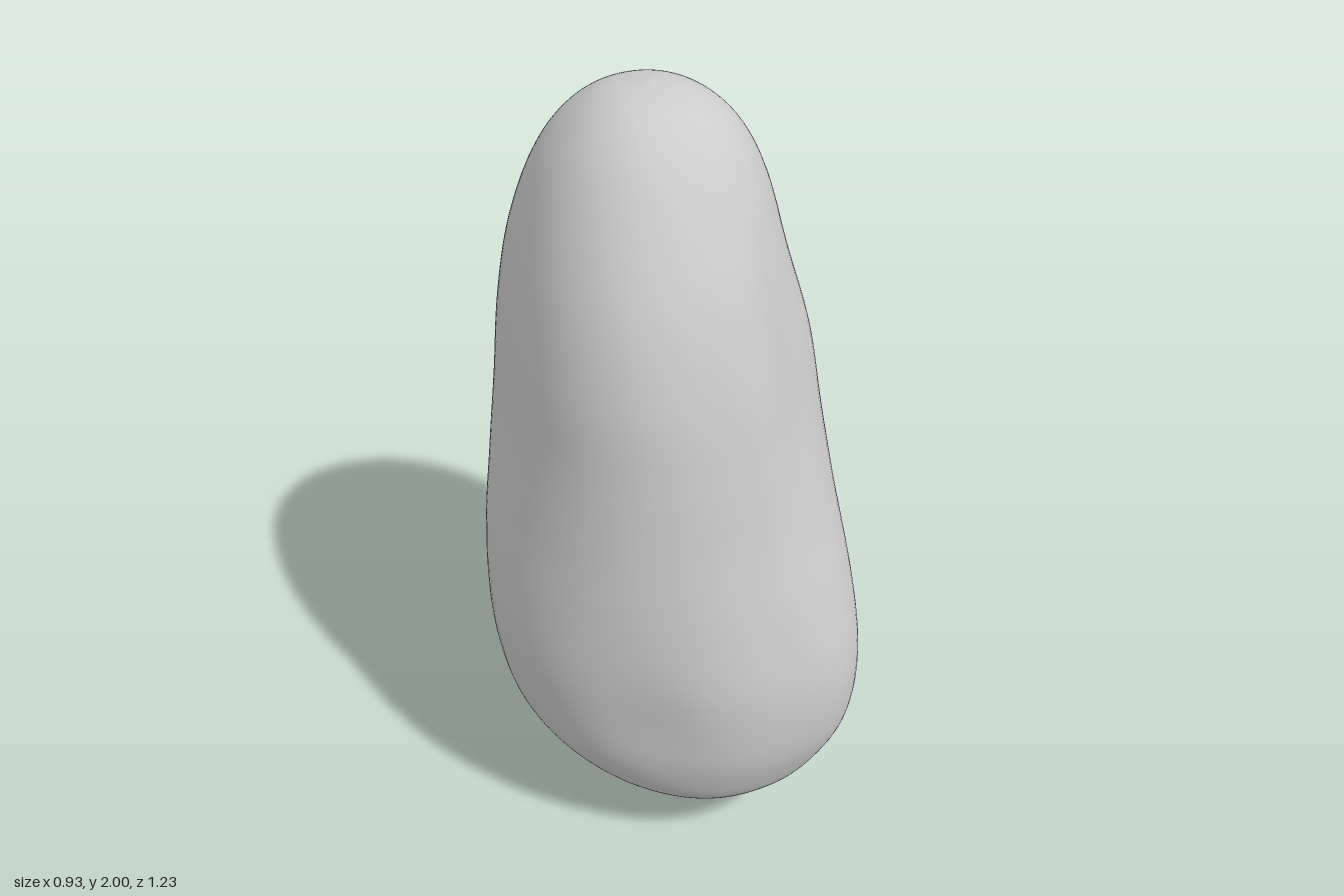
import * as THREE from 'three';
import { mergeVertices } from 'three/addons/utils/BufferGeometryUtils.js';

// Cross-sections from crown to base:
// y, xMin, xMax, zBack, zFront, x of the front ridge, x of the back ridge
const SECTIONS = [
  [2.00, 0.01, 0.01, -0.01, -0.01, 0.01, 0.01],
  [1.975, -0.11, 0.125, -0.155, 0.125, 0.00, 0.02],
  [1.90, -0.203, 0.222, -0.30, 0.232, -0.01, 0.04],
  [1.78, -0.274, 0.292, -0.425, 0.318, -0.02, 0.06],
  [1.60, -0.33, 0.345, -0.54, 0.41, -0.03, 0.08],
  [1.40, -0.365, 0.405, -0.60, 0.47, -0.03, 0.09],
  [1.20, -0.39, 0.435, -0.617, 0.505, -0.01, 0.10],
  [1.00, -0.425, 0.46, -0.608, 0.537, 0.02, 0.10],
  [0.80, -0.458, 0.465, -0.595, 0.58, 0.07, 0.09],
  [0.60, -0.465, 0.455, -0.58, 0.615, 0.10, 0.08],
  [0.42, -0.437, 0.44, -0.55, 0.612, 0.11, 0.08],
  [0.30, -0.39, 0.405, -0.49, 0.582, 0.10, 0.07],
  [0.20, -0.31, 0.34, -0.42, 0.53, 0.08, 0.06],
  [0.11, -0.19, 0.23, -0.30, 0.42, 0.05, 0.04],
  [0.06, -0.105, 0.145, -0.17, 0.31, 0.03, 0.02],
  [0.04, -0.05, 0.09, -0.06, 0.18, 0.02, 0.02],
];

// Shallow hollows in the surface: angle, y, angular width, height, depth
const HOLLOWS = [
  [0.92, 1.35, 0.26, 0.3, 0.07],
  [2.2, 0.5, 0.28, 0.2, 0.04],
];

// Smooth interpolation down the stack of sections
function sectionAt(t) {
  const n = SECTIONS.length - 1;
  const i = Math.min(Math.floor(t), n - 1), f = t - i;
  const row = (k) => SECTIONS[Math.max(0, Math.min(n, k))];
  return row(0).map((_, c) => {
    const [a, b, d, e] = [row(i - 1)[c], row(i)[c], row(i + 1)[c], row(i + 2)[c]];
    return b + 0.5 * f * (d - a + f * (2 * a - 5 * b + 4 * d - e + f * (3 * (b - d) + e - a)));
  });
}

const bump = (v, centre, width) => Math.exp(-(((v - centre) / width) ** 2));

// Corner fullness: 2 is elliptical, more is fuller, less is flatter
function fullness(y, left, front) {
  if (left && front) return 2.15 + 0.8 * bump(y, 0.5, 0.35) + 0.15 * bump(y, 1.3, 0.3);
  if (front) return 2.0 + 0.25 * bump(y, 1.4, 0.4);
  if (left) return 2.1 + 0.35 * bump(y, 1.3, 0.4) + 1.8 * bump(y, 0.5, 0.38);
  return 2.0 + 0.2 * bump(y, 1.45, 0.35) - 0.36 * bump(y, 0.6, 0.4);
}

function pebbleGeometry(steps = 8, around = 128) {
  const rows = (SECTIONS.length - 1) * steps;
  const positions = [], index = [];
  for (let r = 0; r <= rows; r++) {
    const [y, x0, x1, z0, z1, ridgeF, ridgeB] = sectionAt(r / steps);
    const cx = (ridgeF + ridgeB) / 2, cz = z0 * 0.46 + z1 * 0.54;
    // The base tips down towards the front of its opening
    const dip = 0.02 * Math.max(0, r / steps - (SECTIONS.length - 3));
    for (let j = 0; j < around; j++) {
      const a = (j / around) * Math.PI * 2;
      const u = Math.cos(a), w = Math.sin(a);
      const p = fullness(y, u > 0, w > 0);
      let k = (Math.abs(u) ** p + Math.abs(w) ** p) ** (-1 / p);
      for (const [ha, hy, wide, high, depth] of HOLLOWS) {
        k *= 1 - depth * bump(a, ha, wide) * bump(y, hy, high);
      }
      const lean = (ridgeF - ridgeB) / 2 * w * k;
      const x = cx + lean + u * k * (u > 0 ? x1 - cx : cx - x0);
      const z = cz + w * k * (w > 0 ? z1 - cz : cz - z0);
      positions.push(x, y - dip * Math.max(0, w), z);
      if (r < rows) {
        const b = r * around + j, c = r * around + (j + 1) % around;
        if (r > 0) index.push(b, c, b + around);
        index.push(c, c + around, b + around);
      }
    }
  }
  let geometry = new THREE.BufferGeometry();
  geometry.setAttribute('position', new THREE.Float32BufferAttribute(positions, 3));
  geometry.setIndex(index);
  geometry = mergeVertices(geometry, 1e-5);
  geometry.computeVertexNormals();
  return geometry;
}

export function createModel() {
  const group = new THREE.Group();
  group.name = 'pebble';
  // Thin shell, open underneath
  const material = new THREE.MeshStandardMaterial({ color: 0xcccccc, side: THREE.DoubleSide });
  const shell = new THREE.Mesh(pebbleGeometry(), material);
  shell.name = 'shell';
  group.add(shell);
  return group;
}
